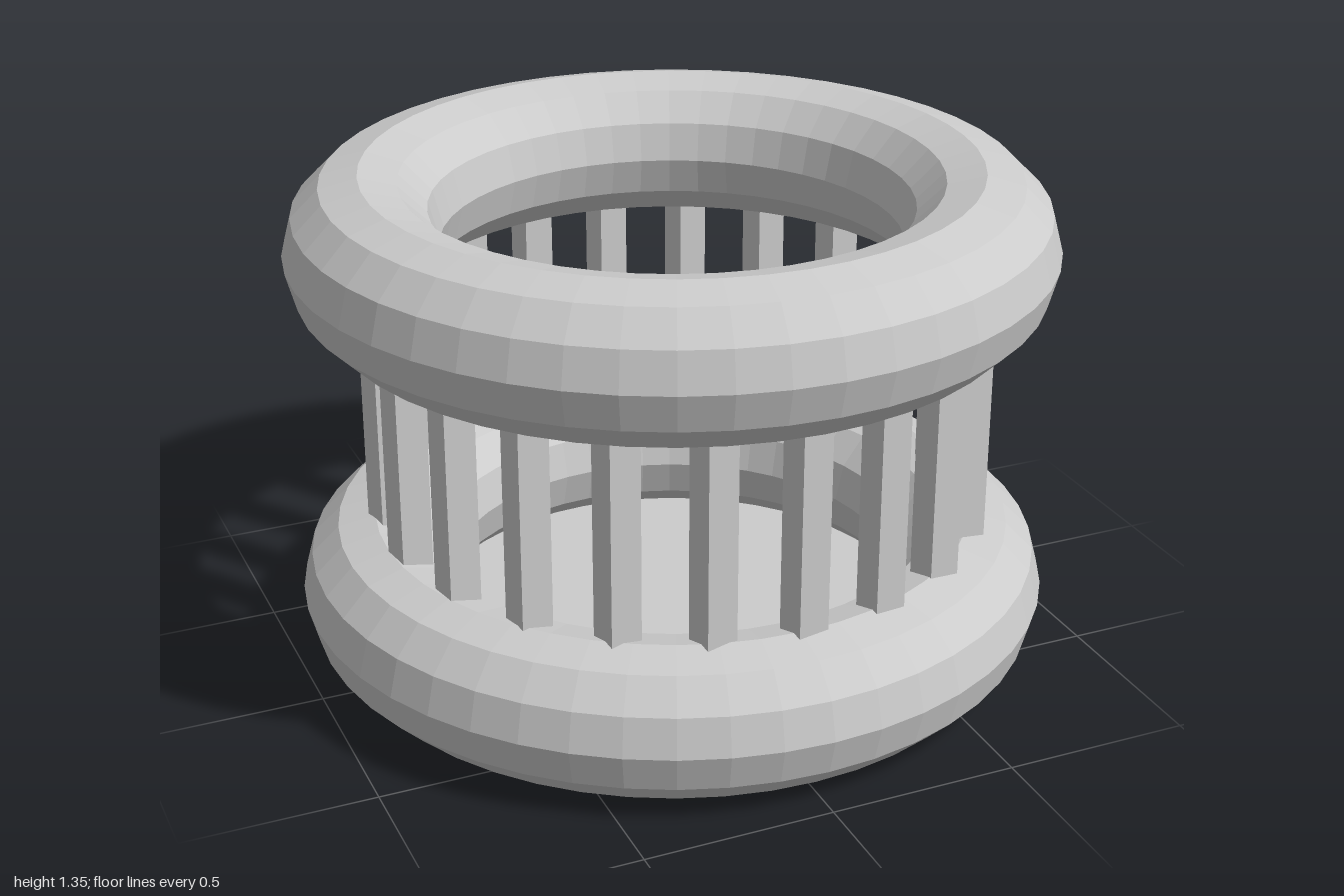
import * as THREE from 'three';

const material = new THREE.MeshStandardMaterial({ color: 0xcccccc, flatShading: true });

function addPart(parent, name, geometry, x, y, z) {
  const mesh = new THREE.Mesh(geometry, material);
  mesh.name = name;
  mesh.position.set(x, y, z);
  parent.add(mesh);
  return mesh;
}

export function createModel() {
  const model = new THREE.Group();
  model.name = 'ringedDrum';

  // Thick faceted rings at the bottom and top
  const ring = new THREE.TorusGeometry(0.8, 0.2, 12, 48).rotateX(Math.PI / 2);
  addPart(model, 'lowerRing', ring, 0, 0.2, 0);
  addPart(model, 'upperRing', ring, 0, 1.15, 0);

  // Floor plate closing the lower ring
  addPart(model, 'floorPlate', new THREE.CylinderGeometry(0.78, 0.78, 0.045, 48), 0, 0.0275, 0);

  // Square posts between the rings, all turned the same way
  const posts = new THREE.Group();
  posts.name = 'posts';
  posts.position.set(0.02, 0, -0.02);
  model.add(posts);
  const count = 21;
  const post = new THREE.BoxGeometry(0.085, 0.75, 0.085).rotateY(0.165);
  for (let i = 0; i < count; i++) {
    const a = (i / count) * Math.PI * 2;
    addPart(posts, 'post', post, 0.775 * Math.sin(a), 0.675, 0.795 * Math.cos(a));
  }
  return model;
}
